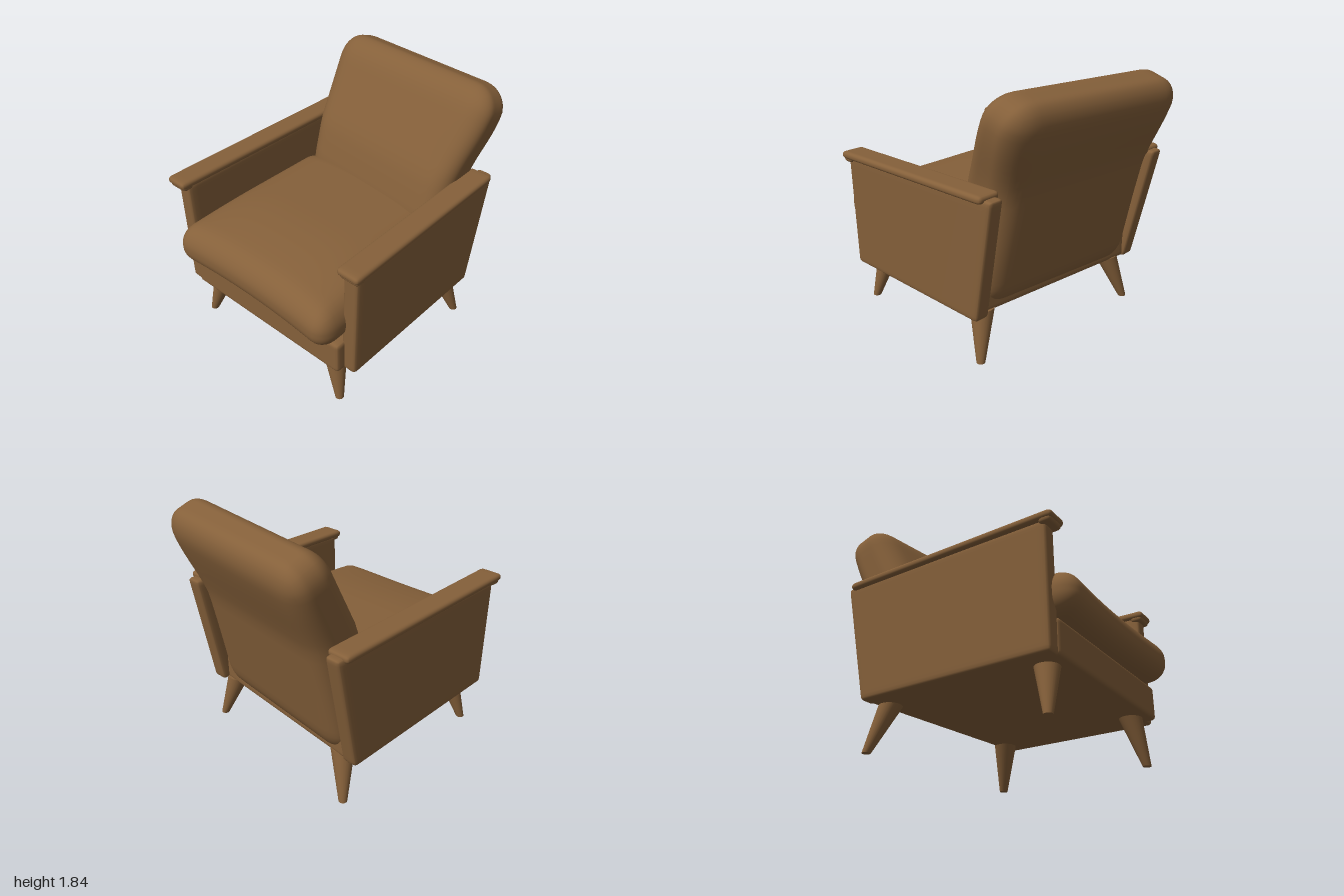
import * as THREE from 'three';
import { mergeVertices } from 'three/addons/utils/BufferGeometryUtils.js';

const { lerp, clamp, smoothstep } = THREE.MathUtils;

const upholstery = new THREE.MeshStandardMaterial({ color: 0x85603a });
upholstery.name = 'brown upholstery';

// Box of size [w, h, d] with elliptical edge radii [rx, ry, rz], rows packed towards the edges,
// then each vertex is moved by the rule shape(p).
function softBox(name, size, radii, shape, n = 22) {
  let geo = new THREE.BoxGeometry(...size, n, n, n);
  geo.deleteAttribute('normal');
  geo.deleteAttribute('uv');
  const pos = geo.attributes.position;
  const p = new THREE.Vector3();
  for (let i = 0; i < pos.count; i++) {
    p.fromBufferAttribute(pos, i);
    const a = p.toArray().map((c, k) => (size[k] / 2) * Math.sin((Math.PI * c) / size[k]));
    const inner = a.map((c, k) => clamp(c, radii[k] - size[k] / 2, size[k] / 2 - radii[k]));
    const q = a.map((c, k) => (c - inner[k]) / radii[k]);
    const len = Math.hypot(...q) || 1;
    p.fromArray(inner.map((c, k) => c + (q[k] / len) * radii[k]));
    shape(p);
    pos.setXYZ(i, p.x, p.y, p.z);
  }
  geo = mergeVertices(geo, 1e-5);
  geo.computeVertexNormals();
  const mesh = new THREE.Mesh(geo, upholstery);
  mesh.name = name;
  return mesh;
}

// Piecewise linear lookup through [x, value] pairs
function along(points, x) {
  for (let i = 1; i < points.length; i++) {
    const [x0, v0] = points[i - 1], [x1, v1] = points[i];
    if (x <= x1) return lerp(v0, v1, clamp((x - x0) / (x1 - x0), 0, 1));
  }
  return points[points.length - 1][1];
}

// Reclined back: depth between a front and a rear profile, skewed sideways
function makeBack() {
  const rear = [[0.33, -0.54], [1.17, -0.73], [1.86, -0.96]];
  const front = [[0.33, -0.24], [0.92, -0.22], [1.23, -0.31], [1.86, -0.64]];
  return softBox('backCushion', [1.34, 1.53, 1], [0.17, 0.17, 0.36], (p) => {
    const y = p.y + 1.1;
    const top = smoothstep(y, 1.1, 1.75);
    const w = p.z + 0.5;
    p.x *= p.x > 0 ? 1 + 0.16 * top : 1 + 0.01 * top;
    p.z = lerp(along(rear, y), along(front, y), w) + 0.11 * p.x;
    p.y = y - 0.11 * top * (1 - w) + 0.015 * top * p.x;
  }, 30);
}

// Seat cushion: crowned top, full front edge
function makeSeat() {
  return softBox('seatCushion', [1.45, 0.28, 1.38], [0.13, 0.13, 0.14], (p) => {
    const u = p.x / 0.725, v = p.z / 0.69;
    const upper = clamp((p.y + 0.14) / 0.28, 0, 1);
    const crown = (1 - u ** 4) * (1 - Math.max(v, 0) ** 2);
    p.y += 0.725 + upper * 0.11 * (0.15 + 0.85 * crown);
    p.z += 0.27 + Math.max(v, 0) * 0.04 * u * u;
    p.x -= 0.015;
  }, 30);
}

// Base under the seat with the front rail
function makeBase() {
  return softBox('baseFrame', [1.4, 0.25, 1], [0.03, 0.03, 0.025], (p) => {
    p.z = lerp(-0.52 + 0.1 * p.x, 0.855 - 0.01 * p.x, p.z + 0.5);
    p.y += 0.455;
  });
}

// Side panel with a raked rear edge; z values at the front, rear foot and rear top
function makePanel(name, side, front, rearFoot, rearTop, topFront, topRear) {
  return softBox(name, [0.12, 1, 1], [0.03, 0.03, 0.02], (p) => {
    const v = p.y + 0.5, w = p.z + 0.5;
    p.z = lerp(lerp(rearFoot, rearTop, v), front, w);
    p.y = lerp(0.33, lerp(topRear, topFront, w), v);
    p.x = side * 0.735 + p.x + side * 0.02 * (v - 0.5);
  });
}

// Flat arm pad with a small turned-down lip at the front
function makeArm(name, side, rear, front, yRear, yFront) {
  const arm = new THREE.Group();
  arm.name = name;
  arm.add(softBox('armPad', [0.175, 0.055, front - rear], [0.027, 0.025, 0.03], (p) => {
    const w = p.z / (front - rear) + 0.5;
    p.x += side * 0.748;
    p.y += lerp(yRear, yFront, w);
    p.z += (front + rear) / 2;
  }));
  arm.add(softBox('armLip', [0.155, 0.06, 0.09], [0.025, 0.025, 0.03], (p) => {
    p.x += side * 0.748;
    p.y += yFront - 0.02;
    p.z += front - 0.055;
  }, 8));
  return arm;
}

// Splayed tapered leg with a level foot
function makeLeg(name, [tx, tz], [bx, bz]) {
  const h = 0.35;
  const geo = new THREE.CylinderGeometry(0.085, 0.03, h, 24);
  const pos = geo.attributes.position;
  for (let i = 0; i < pos.count; i++) {
    const t = pos.getY(i) / h + 0.5;
    pos.setXYZ(i, pos.getX(i) + lerp(bx, tx, t), t * h, pos.getZ(i) + lerp(bz, tz, t));
  }
  geo.computeVertexNormals();
  const mesh = new THREE.Mesh(geo, upholstery);
  mesh.name = name;
  return mesh;
}

export function createModel() {
  const chair = new THREE.Group();
  chair.name = 'armchair';
  chair.add(
    makeBack(),
    makeSeat(),
    makeBase(),
    makePanel('rightPanel', -1, 0.85, -0.6, -0.79, 1.19, 1.21),
    makePanel('leftPanel', 1, 0.78, -0.5, -0.66, 1.18, 1.21),
    makeArm('rightArm', -1, -0.74, 0.91, 1.205, 1.208),
    makeArm('leftArm', 1, -0.6, 0.82, 1.21, 1.18),
    makeLeg('frontRightLeg', [-0.575, 0.71], [-0.682, 0.77]),
    makeLeg('frontLeftLeg', [0.55, 0.71], [0.645, 0.77]),
    makeLeg('backRightLeg', [-0.58, -0.5], [-0.68, -0.605]),
    makeLeg('backLeftLeg', [0.62, -0.39], [0.72, -0.475]),
  );
  return chair;
}
